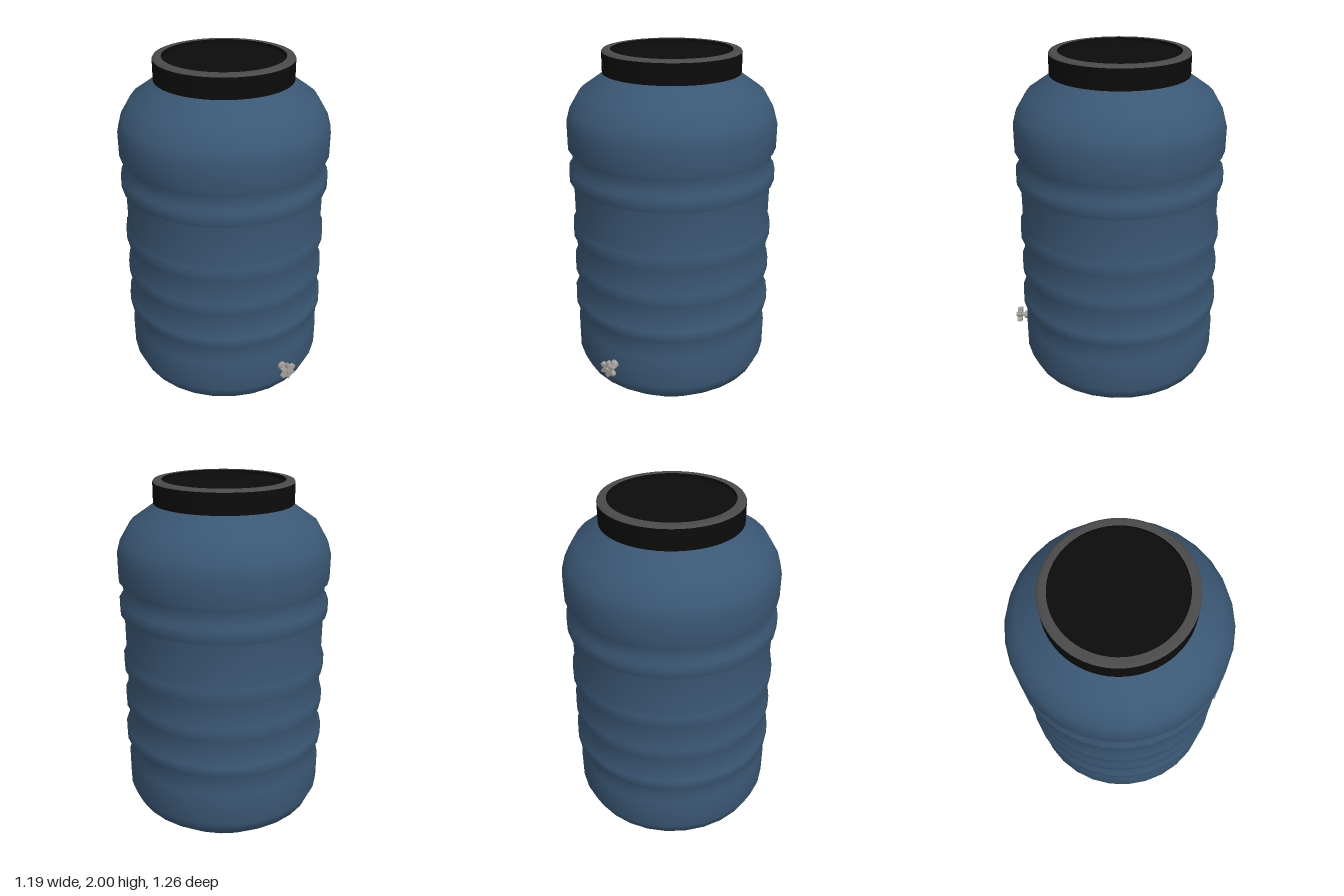
import * as THREE from 'three';

const mat = (name, color) => {
  const m = new THREE.MeshStandardMaterial({ color });
  m.name = name;
  return m;
};

export function createModel() {
  const blue = mat('barrel blue', 0x3a5774);
  const black = mat('lid black', 0x0c0c0c);
  const grey = mat('rim grey', 0x4a4a4a);
  const metal = mat('tap metal', 0xa39f9b);

  const model = new THREE.Group();
  model.name = 'rainBarrel';
  const barrel = new THREE.Group();
  barrel.name = 'barrel';
  barrel.position.z = -0.0375;
  model.add(barrel);

  const add = (parent, name, geometry, material) => {
    const mesh = new THREE.Mesh(geometry, material);
    mesh.name = name;
    parent.add(mesh);
    return mesh;
  };
  const lathe = (pts, segments, start = 0) =>
    new THREE.LatheGeometry(pts.map(([r, y]) => new THREE.Vector2(r, y)), segments, start);

  // Ribbed body: [bottom, top, radius] of each raised band
  const waist = 0.572;
  const profile = [[0, 0], [0.435, 0], [0.55, 0.095], [0.585, 0.175], [0.585, 0.35], [waist, 0.365]];
  const ribs = [[0.49, 0.555, 0.595], [0.71, 0.78, 0.588], [0.935, 1.01, 0.588], [1.275, 1.345, 0.595]];
  for (const [y0, y1, r] of ribs) {
    profile.push([waist, y0 - 0.02], [r, y0], [r, y1], [waist, y1 + 0.02]);
  }
  profile.push([waist, 1.445], [0.595, 1.465], [0.595, 1.605], [0.575, 1.675],
    [0.515, 1.775], [0.385, 1.865], [0.36, 1.89]);
  add(barrel, 'body', lathe(profile, 30, Math.PI / 30), blue);

  // Lid: side wall, rounded rim and slightly sunken panel
  add(barrel, 'lidUnderside', lathe([[0.34, 1.875], [0.385, 1.875]], 64), black);
  add(barrel, 'lidSide', lathe([[0.385, 1.875], [0.385, 1.988]], 64), black);
  add(barrel, 'lidRim', lathe([[0.385, 1.988], [0.379, 1.997], [0.365, 2], [0.336, 2]], 64), grey);
  add(barrel, 'lidInnerWall', lathe([[0.336, 2], [0.336, 1.98]], 64), black);
  const panel = add(barrel, 'lidPanel', new THREE.CircleGeometry(0.336, 64), black);
  panel.rotation.x = -Math.PI / 2;
  panel.position.y = 1.98;

  // Tap on the front
  const tap = new THREE.Group();
  tap.name = 'tap';
  tap.position.y = 0.275;
  model.add(tap);
  const rod = (name, r, z0, z1) => {
    const m = add(tap, name, new THREE.CylinderGeometry(r, r, z1 - z0, 16), metal);
    m.rotation.x = Math.PI / 2;
    m.position.z = (z0 + z1) / 2;
  };
  rod('tapFlange', 0.025, 0.52, 0.574);
  rod('tapStem', 0.013, 0.57, 0.6);
  rod('tapHub', 0.016, 0.59, 0.63);

  // Six-lobed hand wheel
  const star = new THREE.Shape();
  const count = 48;
  for (let i = 0; i < count; i++) {
    const a = (i / count) * Math.PI * 2;
    const r = 0.041 + 0.012 * Math.cos(6 * (a - Math.PI / 2));
    star[i ? 'lineTo' : 'moveTo'](r * Math.cos(a), r * Math.sin(a));
  }
  star.closePath();
  const wheel = add(tap, 'tapHandle',
    new THREE.ExtrudeGeometry(star, { depth: 0.025, bevelEnabled: false }), metal);
  wheel.position.z = 0.594;

  return model;
}
